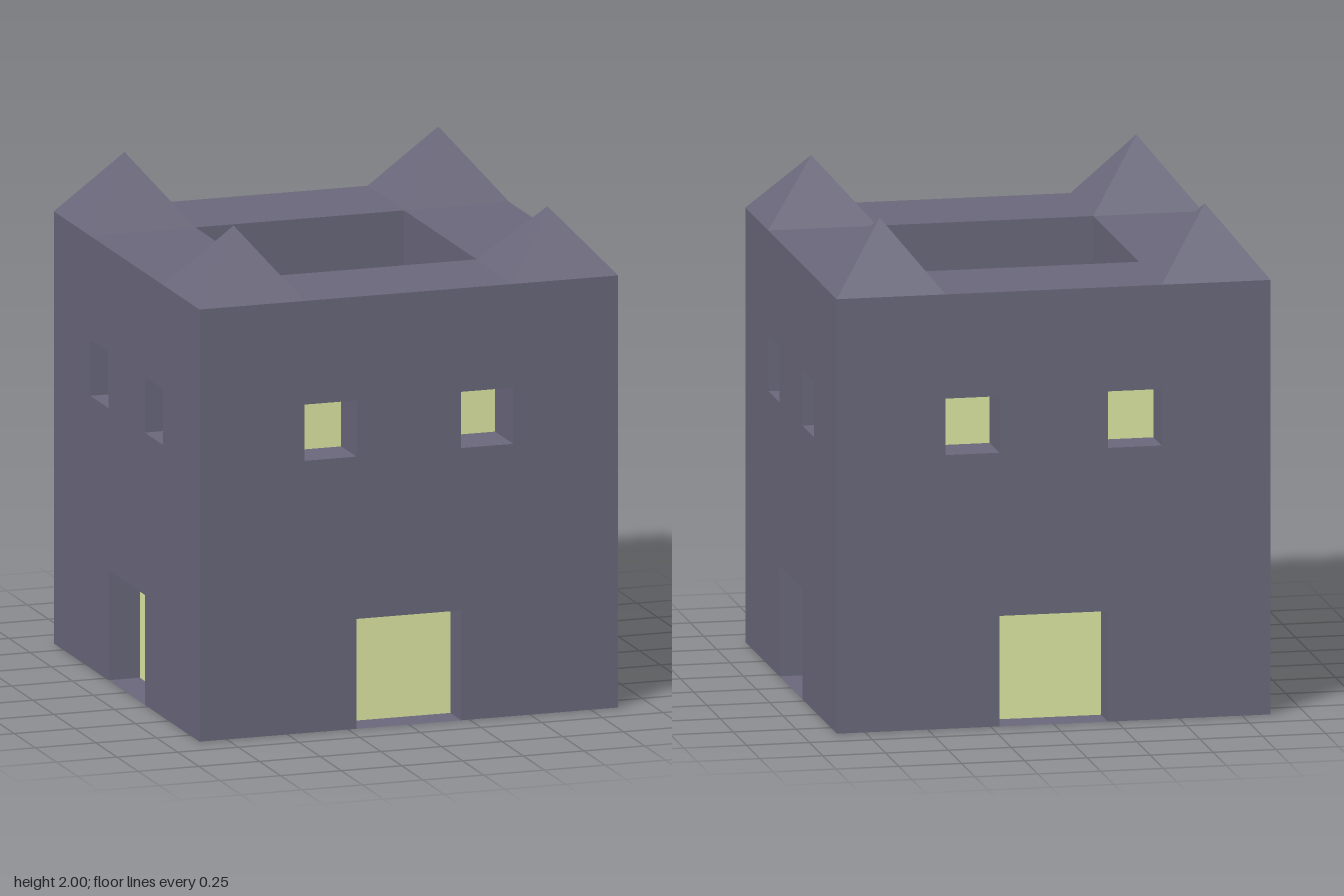
import * as THREE from 'three';

const R = 0.863;      // half width of the keep
const C = 0.43;       // half width of the courtyard
const TOP = 1.73;     // wall height
const FLOOR = 0.43;   // courtyard floor height

const stone = new THREE.MeshStandardMaterial({ color: 0x6a687b, flatShading: true });
const stoneInside = new THREE.MeshStandardMaterial({ color: 0x6a687b, flatShading: true, side: THREE.BackSide });
const glow = new THREE.MeshStandardMaterial({ color: 0xdfe8a4, flatShading: true });

function add(parent, name, geometry, material, x = 0, y = 0, z = 0) {
  const mesh = new THREE.Mesh(geometry, material);
  mesh.name = name;
  mesh.position.set(x, y, z);
  parent.add(mesh);
  return mesh;
}

// Closed rectangular path
function rect(PathType, x0, y0, x1, y1) {
  const p = new PathType();
  p.moveTo(x0, y0);
  p.lineTo(x1, y0);
  p.lineTo(x1, y1);
  p.lineTo(x0, y1);
  p.closePath();
  return p;
}

// Open four-sided tube along z, unit size
function squareTube(w, h, d) {
  return new THREE.CylinderGeometry(Math.SQRT1_2, Math.SQRT1_2, 1, 4, 1, true)
    .rotateY(Math.PI / 4).rotateX(Math.PI / 2).scale(w, h, d);
}

// Recess with a glowing pane at its back
function addOpening(wall, name, x0, y0, x1, y1, depth) {
  const w = x1 - x0, h = y1 - y0, x = (x0 + x1) / 2, y = (y0 + y1) / 2;
  add(wall, name + 'Recess', squareTube(w, h, depth), stoneInside, x, y, R - depth / 2);
  add(wall, name + 'Pane', new THREE.PlaneGeometry(w, h), glow, x, y, R - depth);
}

// One outer wall with a doorway and two windows
function makeWall(name, leftDepth, rightDepth) {
  const wall = new THREE.Group();
  wall.name = name;
  const d = 0.216, doorTop = 0.44;
  const outline = new THREE.Shape([
    [-R, 0], [-d, 0], [-d, doorTop], [d, doorTop], [d, 0], [R, 0], [R, TOP], [-R, TOP],
  ].map(([x, y]) => new THREE.Vector2(x, y)));
  addOpening(wall, 'door', -d, 0, d, doorTop, 0.13);
  for (const [x0, x1, depth] of [[-C, -d, rightDepth], [d, C, leftDepth]]) {
    outline.holes.push(rect(THREE.Path, x0, 1.09, x1, 1.315));
    addOpening(wall, 'window', x0, 1.09, x1, 1.315, depth);
  }
  add(wall, 'wallFace', new THREE.ShapeGeometry(outline), stone, 0, 0, R);
  return wall;
}

export function createModel() {
  const model = new THREE.Group();
  model.name = 'keep';

  // Four outer walls
  [['frontWall', 0.215, 0.18], ['leftWall', 0.2, 0.2],
    ['backWall', 0.155, 0.185], ['rightWall', 0.2, 0.2]].forEach(([name, l, r], i) => {
    const wall = makeWall(name, l, r);
    wall.rotation.y = i * Math.PI / 2;
    model.add(wall);
  });

  // Wall top with the courtyard opening
  const rim = rect(THREE.Shape, -R, -R, R, R);
  rim.holes.push(rect(THREE.Path, -C, -C, C, C));
  add(model, 'wallTop', new THREE.ShapeGeometry(rim).rotateX(-Math.PI / 2), stone, 0, TOP, 0);

  // Courtyard walls and floor
  const h = TOP - FLOOR;
  add(model, 'courtyardWalls', squareTube(2 * C, 2 * C, h).rotateX(Math.PI / 2),
    stoneInside, 0, FLOOR + h / 2, 0);
  add(model, 'courtyardFloor', new THREE.PlaneGeometry(2 * C, 2 * C).rotateX(-Math.PI / 2),
    stone, 0, FLOOR, 0);

  // Underside
  add(model, 'base', new THREE.PlaneGeometry(2 * R, 2 * R).rotateX(Math.PI / 2), stone);

  // Pyramid on each corner, one slightly lower
  const half = (R - C) / 2, mid = (R + C) / 2;
  for (const x of [-1, 1]) {
    for (const z of [-1, 1]) {
      const height = x > 0 && z > 0 ? 0.245 : 0.27;
      const spire = new THREE.ConeGeometry(half * Math.SQRT2, height, 4, 1, true).rotateY(Math.PI / 4);
      add(model, 'cornerSpire', spire, stone, x * mid, TOP + height / 2, z * mid);
    }
  }
  return model;
}
